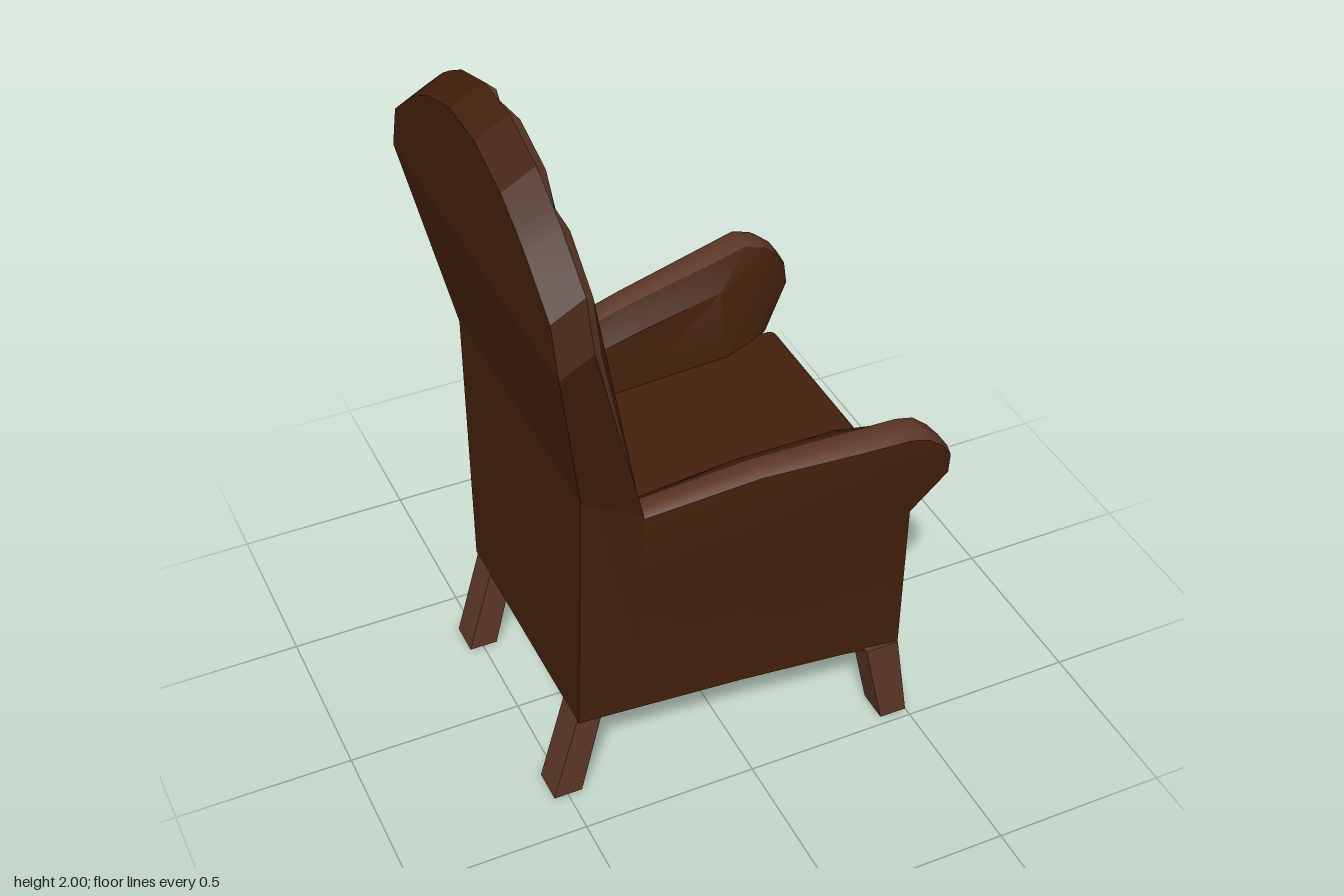
import * as THREE from 'three';
import { toCreasedNormals } from 'three/addons/utils/BufferGeometryUtils.js';
import { RoundedBoxGeometry } from 'three/addons/geometries/RoundedBoxGeometry.js';

const mirror = ([x, y, z]) => [x, y, -z];

// Collects faces in two buckets (0 = fabric, 1 = trim) and mirrors them across z
class Faces {
  constructor() { this.buckets = [[], []]; }
  tri(mat, a, b, c) { this.buckets[mat].push(...a, ...b, ...c); }
  quad(mat, a, b, c, d) { this.tri(mat, a, b, c); this.tri(mat, a, c, d); }
  pair(mat, a, b, c, d) {
    this.quad(mat, a, b, c, d);
    this.quad(mat, ...[d, c, b, a].map(mirror));
  }
  mesh(name, materials, crease) {
    const geo = new THREE.BufferGeometry();
    const [f, t] = this.buckets;
    geo.setAttribute('position', new THREE.Float32BufferAttribute([...f, ...t], 3));
    geo.addGroup(0, f.length / 3, 0);
    geo.addGroup(f.length / 3, t.length / 3, 1);
    const mesh = new THREE.Mesh(toCreasedNormals(geo, crease), materials);
    mesh.name = name;
    return mesh;
  }
}

// Fan-shaped channelled backrest, reaching down to the base
function buildBack(materials) {
  const faces = new Faces();
  // z and y on the crown, z at the seat, and whether a channel seam runs here
  const crown = [
    [0, 2.0, 0, true], [0.08, 2.0, 0.04], [0.24, 1.95, 0.24], [0.33, 1.9, 0.3, true],
    [0.385, 1.865, 0.33], [0.52, 1.76, 0.38], [0.562, 1.63, 0.39],
  ];
  const cols = crown.map(([z, y, zb, seam]) => ({
    back: [-0.555, y - 0.05, z],
    ridge: [-0.465, y, z],
    top: [seam ? -0.444 : -0.437, y - (seam ? 0.075 : 0.025), z * 0.95],
    mid: [seam ? -0.285 : -0.278, 0.95, zb],
    foot: [seam ? -0.285 : -0.278, 0.76, zb],
  }));
  const waist = { back: [-0.455, 1.07, 0.42], ridge: [-0.28, 0.96, 0.41], top: [-0.278, 0.95, 0.39] };
  const base = { back: [-0.465, 0.27, 0.38], ridge: [-0.28, 0.27, 0.394] };
  const all = [...cols, waist, base];
  for (let i = 0; i < all.length - 1; i++) {
    const a = all[i], b = all[i + 1];
    faces.pair(0, a.back, b.back, b.ridge, a.ridge);
    faces.quad(0, a.back, mirror(a.back), mirror(b.back), b.back);
    if (b.top) faces.pair(1, a.ridge, b.ridge, b.top, a.top);
    if (b.mid) {
      faces.pair(0, a.top, b.top, b.mid, a.mid);
      faces.pair(0, a.mid, b.mid, b.foot, a.foot);
    }
  }
  // underside
  faces.quad(0, base.back, mirror(base.back), mirror(base.ridge), base.ridge);
  return faces.mesh('backrest', materials, 0.15);
}

// Rolled arms lofted from back to front, with a trim strip along the crest
function buildArms(materials) {
  const faces = new Faces();
  // lower x, upper x, side z, roll z, crest y, inner crest z, seat seam z, inner fullness
  const stations = [
    [-0.28, -0.28, 0.394, 0.41, 0.96, 0.335, 0.262, 0.2],
    [0, 0.03, 0.415, 0.455, 1.02, 0.375, 0.282, 0.25],
    [0.3, 0.3, 0.446, 0.508, 1.05, 0.415, 0.3, 0.35],
    [0.4, 0.42, 0.462, 0.53, 1.065, 0.435, 0.34, 0.5],
    [0.43, 0.475, 0.466, 0.53, 1.048, 0.43, 0.36, 0.6],
    [0.45, 0.52, 0.468, 0.527, 1.01, 0.43, 0.37, 0.6],
    [0.46, 0.55, 0.469, 0.515, 0.965, 0.445, 0.378, 0.6],
  ].map(([xl, xu, zb, zo, yt, zi, zs, full]) => [
    [xl, 0.27, zb], [xl, 0.76, zb + 0.01], [xu - 0.005, yt - 0.07, zo], [xu, yt - 0.015, zo - 0.003],
    [xu, yt, (zo + zi) / 2 + 0.01], [xu, yt - 0.01, zi],
    [xu - 0.005, yt - 0.06, zs + (zi - zs) * full],
    [xl, 0.785, zs], [xl, 0.27, 0.36],
  ]);
  for (let s = 0; s < stations.length - 1; s++) {
    const a = stations[s], b = stations[s + 1];
    for (let p = 0; p < 7; p++) {
      faces.pair(p === 3 || p === 4 ? 1 : 0, a[p], b[p], b[p + 1], a[p + 1]);
    }
    faces.pair(0, a[8], b[8], b[0], a[0]);
  }
  // front ends: post, underside of the roll and its face
  const e = stations[stations.length - 1];
  faces.pair(0, e[8], e[7], e[1], e[0]);
  faces.pair(0, e[7], e[6], e[2], e[1]);
  faces.pair(1, e[6], e[5], e[3], e[2]);
  faces.pair(1, e[5], e[4], e[3], e[3]);
  return faces.mesh('arms', materials, 0.8);
}

// Square leg sheared from its foot to its top
function buildLeg(name, material, topX, footX, zRange) {
  const geo = new THREE.BoxGeometry(1, 1, 1);
  const pos = geo.attributes.position;
  for (let i = 0; i < pos.count; i++) {
    const range = pos.getY(i) > 0 ? topX : footX;
    pos.setXYZ(i, range[pos.getX(i) > 0 ? 1 : 0], pos.getY(i) > 0 ? 0.28 : 0,
      zRange[pos.getZ(i) > 0 ? 1 : 0]);
  }
  geo.computeVertexNormals();
  const leg = new THREE.Mesh(geo, material);
  leg.name = name;
  return leg;
}

export function createModel() {
  const fabric = new THREE.MeshStandardMaterial({ color: 0x43200b });
  fabric.name = 'dark brown upholstery';
  const wood = new THREE.MeshStandardMaterial({ color: 0x5c3727 });
  wood.name = 'reddish brown wood';

  const group = new THREE.Group();
  group.name = 'armchair';
  group.add(buildBack([fabric, wood]), buildArms([fabric, wood]));

  // Seat block running between the arms
  const seat = new THREE.Mesh(new RoundedBoxGeometry(0.786, 0.525, 0.75, 3, 0.025), fabric);
  seat.name = 'seat';
  seat.position.set(0.093, 0.5285, 0);
  group.add(seat);

  // Legs: the rear pair stands closer together
  for (const [side, s] of [['left', 1], ['right', -1]]) {
    const z = (a, b) => (s > 0 ? [a, b] : [-b, -a]);
    group.add(buildLeg(side + 'FrontLeg', wood, [0.36, 0.458], [0.42, 0.5], z(0.38, 0.474)));
    group.add(buildLeg(side + 'RearLeg', wood, [-0.462, -0.39], [-0.54, -0.458], z(0.272, 0.37)));
  }
  return group;
}
